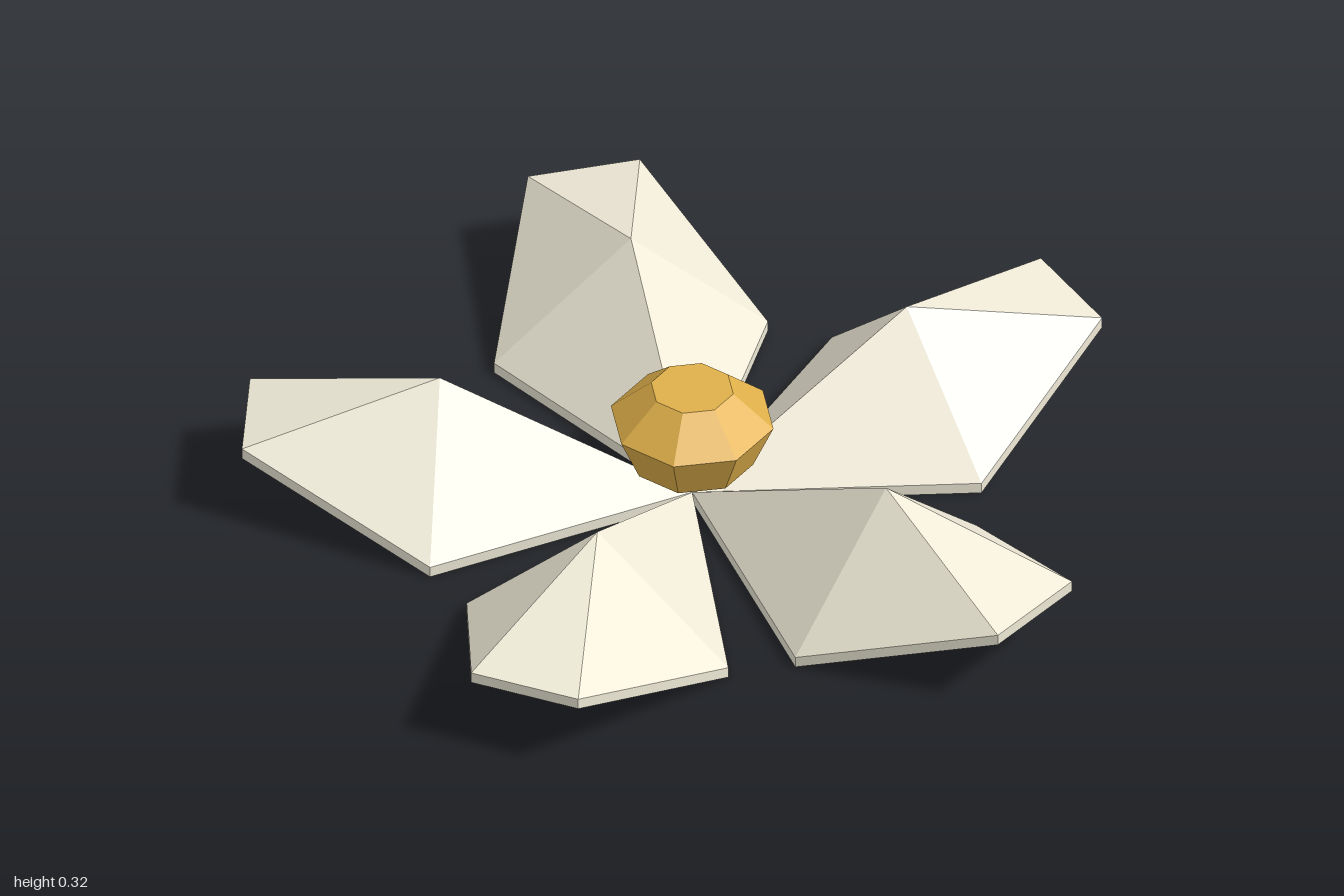
import * as THREE from 'three';

const THICKNESS = 0.027;

// Folded petal pointing along +x: an outline ring fanned up to one raised ridge point
function petalGeometry() {
  const ridge = [0.57, 0.322, 0];
  const ring = [
    [0, THICKNESS, 0],
    [0.57, THICKNESS, 0.318],
    [1.008, 0.196, 0.13],
    [1.008, 0.196, -0.13],
    [0.57, THICKNESS, -0.318],
  ];
  const lower = ([x, y, z]) => [x, y - THICKNESS, z];
  const positions = [];
  const triangle = (a, b, c) => positions.push(...a, ...b, ...c);

  ring.forEach((a, i) => {
    const b = ring[(i + 1) % ring.length];
    const a2 = lower(a), b2 = lower(b);
    triangle(ridge, a, b);            // upper face
    triangle(lower(ridge), b2, a2);   // hollow underside
    triangle(a, a2, b2);              // rim
    triangle(a, b2, b);
  });

  const geometry = new THREE.BufferGeometry();
  geometry.setAttribute('position', new THREE.Float32BufferAttribute(positions, 3));
  geometry.computeVertexNormals();
  return geometry;
}

export function createModel() {
  const flower = new THREE.Group();
  flower.name = 'flower';

  const cream = new THREE.MeshStandardMaterial({ color: 0xf0ebd8, flatShading: true });
  const gold = new THREE.MeshStandardMaterial({ color: 0xe0b04a, flatShading: true });

  // Five petals around the centre
  const petal = petalGeometry();
  for (let i = 0; i < 5; i++) {
    const mesh = new THREE.Mesh(petal, cream);
    mesh.name = `petal${i + 1}`;
    mesh.rotation.y = (i * Math.PI * 2) / 5;
    flower.add(mesh);
  }

  // Eight-sided faceted heart, floating above the petal bases
  const profile = [[0, 0.13], [0.141, 0.13], [0.188, 0.24], [0.095, 0.323], [0, 0.323]];
  const heart = new THREE.Mesh(
    new THREE.LatheGeometry(profile.map(([r, y]) => new THREE.Vector2(r, y)), 8),
    gold
  );
  heart.name = 'flowerHeart';
  flower.add(heart);

  // Centre the five-fold outline on x = 0
  flower.children.forEach((part) => { part.position.x = -0.06; });
  return flower;
}
